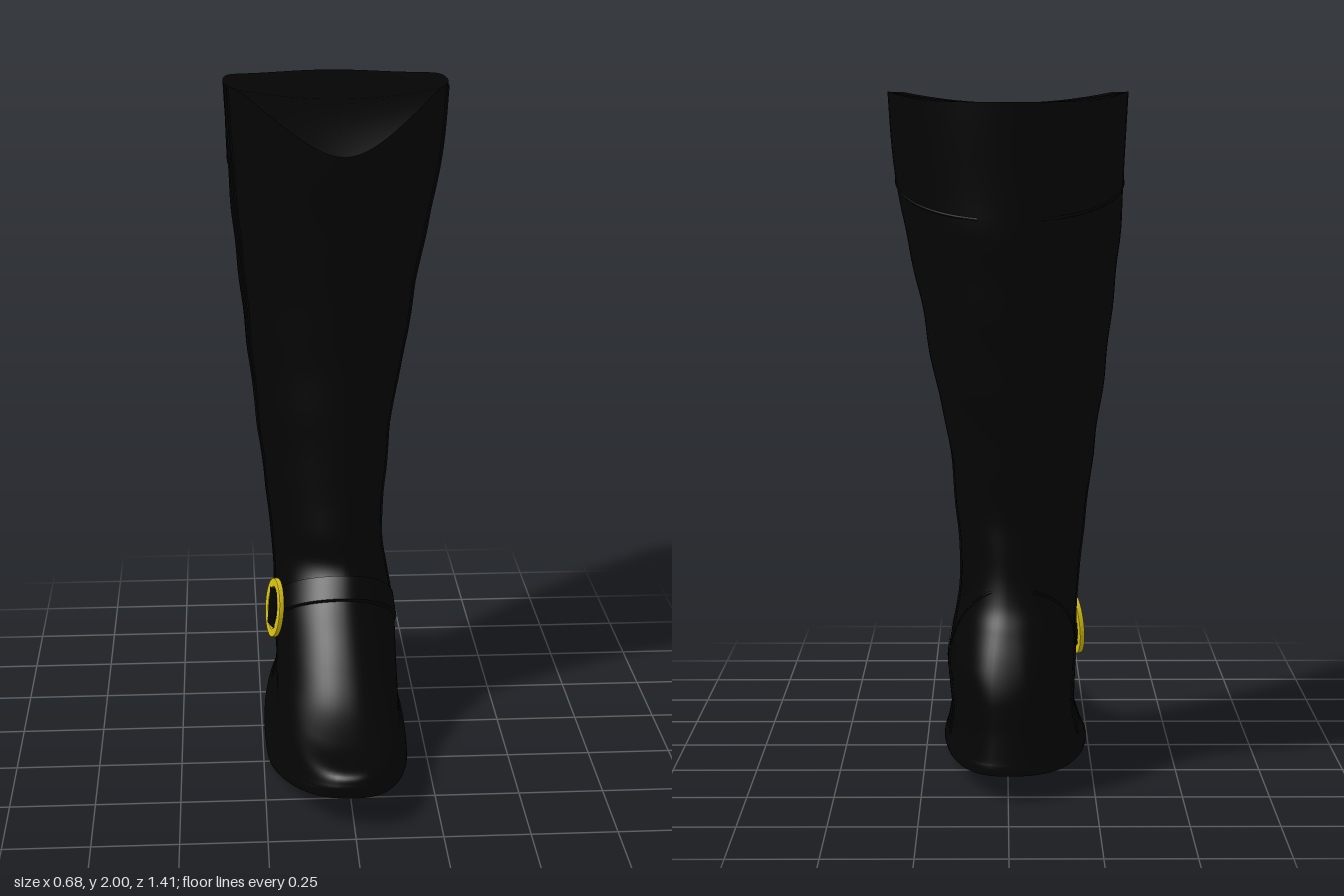
import * as THREE from 'three';
import { toCreasedNormals } from 'three/addons/utils/BufferGeometryUtils.js';

// Rings from sole to rim: front z, front y, back z, back y, half width +x, half width -x, sole bend
const ROWS = [
  [0.695, 0.10, -0.56, 0.08, 0.188, 0.238, 1],
  [0.70, 0.115, -0.562, 0.10, 0.193, 0.24, 1],
  [0.705, 0.14, -0.56, 0.13, 0.185, 0.224, 0.9],
  [0.68, 0.175, -0.557, 0.20, 0.172, 0.205, 0.6],
  [0.55, 0.20, -0.557, 0.25, 0.172, 0.202, 0.3],
  [0.41, 0.243, -0.555, 0.30, 0.174, 0.20, 0.1],
  [0.295, 0.312, -0.545, 0.35, 0.175, 0.20, 0],
  [0.195, 0.393, -0.525, 0.41, 0.165, 0.20, 0],
  [0.11, 0.47, -0.495, 0.48, 0.152, 0.20, 0],
  [0.055, 0.55, -0.465, 0.55, 0.14, 0.205, 0],
  [0.055, 0.65, -0.452, 0.65, 0.138, 0.213, 0],
  [0.045, 0.8, -0.457, 0.8, 0.15, 0.23, 0],
  [0.045, 1.0, -0.505, 1.0, 0.172, 0.255, 0],
  [0.05, 1.2, -0.56, 1.2, 0.215, 0.28, 0],
  [0.075, 1.4, -0.605, 1.4, 0.248, 0.30, 0],
  [0.115, 1.6, -0.65, 1.6, 0.29, 0.32, 0],
  [0.165, 1.8, -0.675, 1.8, 0.325, 0.33, 0],
  [0.20, 2.0, -0.705, 2.0, 0.34, 0.34, 0],
];
const TOP = ROWS.length - 1;
const { smoothstep, lerp, clamp } = THREE.MathUtils;

// Smooth interpolation of one ring
function ring(v) {
  const i = clamp(Math.floor(v), 0, TOP - 1), t = v - i;
  const at = (j) => ROWS[clamp(j, 0, TOP)];
  const [p, q, r, s] = [at(i - 1), at(i), at(i + 1), at(i + 2)];
  return q.map((b, k) => {
    const m0 = (r[k] - p[k]) / 2, m1 = (s[k] - b) / 2, d = r[k] - b;
    return b + t * (m0 + t * (3 * d - 2 * m0 - m1 + t * (m0 + m1 - 2 * d)));
  });
}

// Point on the boot: v = ring, a = angle from the back round by +x
function surf(v, a, squash = 1) {
  const [zF, yF, zB, yB, wR, wL, bend] = ring(v);
  const c = Math.cos(a), s = Math.sin(a), u = (1 - c) / 2;
  let z = lerp(zB, zF, u);
  let y = lerp(yB, yF, u);
  // soft creases in the leather
  const amp = 0.003 * smoothstep(y, 0.6, 0.8) * (1 - smoothstep(y, 1.5, 1.8));
  const fold = amp * Math.sin(y * 27 + 2.5 * Math.cos(a + 0.6)) * (0.6 + 0.4 * c);
  z -= fold * c;
  // blunt toe and heel low down, egg-shaped shaft with a pointed rim at the front
  const power = c > 0 ? lerp(0.75, 1, smoothstep(v, 6, 10)) : lerp(0.82, 1, smoothstep(v, 2, 8));
  const blunt = Math.pow(Math.abs(s), power) * Math.sign(s);
  const point = c < 0 ? 0.3 * c * c * smoothstep(v, 12, TOP) : 0;
  const egg = (1 + 0.06 * c * smoothstep(y, 0.8, 1.8)) * (1 - point);
  const x = blunt * ((s > 0 ? wR : wL) + fold) * egg;
  // rim dips at the front, sole bends at the ball of the foot
  const dip = 0.15 * Math.pow(clamp((z + 0.1) / 0.3, 0, 1), 1.5) + 0.03 * (1 - smoothstep(z, -0.7, -0.35));
  y -= smoothstep(y, 1.6, 2) * dip;
  y -= bend * 0.096 * (z < 0.25 ? (z + 0.56) / 0.81 : (0.7 - z) / 0.45);
  return new THREE.Vector3(x * squash, y, z);
}

function normalAt(v, a) {
  const dv = surf(v + 0.02, a).sub(surf(v - 0.02, a));
  const da = surf(v, a + 0.02).sub(surf(v, a - 0.02));
  return dv.cross(da).normalize();
}

// Point lifted off the surface
function raised(v, a, h) {
  return surf(v, a).addScaledVector(normalAt(v, a), h);
}

// Skin over a closed or open grid of points
function grid(fn, cols, rows, closed) {
  const pos = [], idx = [], n = closed ? cols : cols + 1;
  for (let j = 0; j <= rows; j++)
    for (let i = 0; i < n; i++) pos.push(...fn(i / cols, j / rows).toArray());
  for (let j = 0; j < rows; j++)
    for (let i = 0; i < cols; i++) {
      const a = j * n + i, b = j * n + (i + 1) % n;
      idx.push(a, a + n, b, b, a + n, b + n);
    }
  const g = new THREE.BufferGeometry();
  g.setAttribute('position', new THREE.Float32BufferAttribute(pos, 3));
  g.setIndex(idx);
  g.computeVertexNormals();
  return g;
}

// Ring number where the surface at angle a meets the plane y - slope * z = c
function meet(a, slope, c) {
  let lo = 1, hi = TOP;
  for (let k = 0; k < 30; k++) {
    const mid = (lo + hi) / 2, p = surf(mid, a);
    if (p.y - slope * p.z < c) lo = mid; else hi = mid;
  }
  return lo;
}

export function createModel() {
  const boot = new THREE.Group();
  boot.name = 'boot';
  const material = (name, color) => {
    const m = new THREE.MeshStandardMaterial({ color, side: THREE.DoubleSide });
    m.name = name;
    return m;
  };
  const leather = material('black leather', 0x040404);
  const gold = material('gold metal', 0xd8c010);
  const add = (name, geometry, mat = leather, parent = boot) => {
    const mesh = new THREE.Mesh(geometry, mat);
    mesh.name = name;
    parent.add(mesh);
  };
  const TAU = Math.PI * 2;

  // Foot and shaft in one skin, the shallow hollow at the top, and the sole
  add('upper', grid((u, t) => surf(lerp(1.6, TOP, t), u * TAU), 72, 110, true));
  add('topHollow', grid((u, t) => {
    const p = surf(TOP, u * TAU, 1 - t);
    p.y -= 0.035 * Math.sin(u * TAU) ** 2 * (1 - (1 - t) ** 2);
    return p;
  }, 72, 12, true));
  add('soleEdge', grid((u, t) => {
    const p = surf(lerp(0, 1.6, t), u * TAU);
    if (t > 0.1 && t < 0.9) p.x *= 1.012;
    return p;
  }, 72, 8, true));
  add('soleBottom', grid((u, t) => surf(0, u * TAU, t), 72, 6, true));

  // Ankle strap over the instep, thinner towards its ends
  const slope = 0.7, mid = 0.433;
  const section = [[-0.05, -0.005], [-0.047, 0.018], [0.047, 0.018], [0.05, -0.005]];
  const strap = grid((u, t) => {
    const a = lerp(1.48, TAU - 1.48, u);
    const [c, h] = section[Math.round(t * 3)];
    const thin = lerp(0.3, 1, Math.sin(u * Math.PI));
    return raised(meet(a, slope, mid + c), a, h * thin);
  }, 48, 3, false);
  add('ankleStrap', toCreasedNormals(strap, 0.7));

  // Seams laid on the surface
  const seam = (name, points) =>
    add(name, new THREE.TubeGeometry(new THREE.CatmullRomCurve3(points), 60, 0.004, 6, false));
  const steps = (n, fn) => Array.from({ length: n + 1 }, (_, i) => fn(i / n));
  for (const side of [1, -1]) {
    const label = side > 0 ? 'left' : 'right';
    const ang = (a) => (side > 0 ? a : TAU - a);
    // angle at which ring v passes depth z
    const angleAt = (v, z) => {
      const [zF, , zB] = ring(v);
      return ang(Math.acos(clamp(1 - 2 * (z - zB) / (zF - zB), -1, 1)));
    };
    for (const z of [-0.165, -0.195])
      seam(label + 'SideSeam', steps(40, (t) => {
        const v = lerp(2, TOP - 0.05, t);
        return raised(v, angleAt(v, z), 0.001);
      }));
    // heel counter seam rising to the back
    seam(label + 'HeelSeam', steps(16, (t) => {
      const a = ang(lerp(1.5, 0.35, t));
      return raised(meet(a, -0.9, 0.19), a, -0.001);
    }));
    // back collar panel seam
    seam(label + 'CollarSeam', steps(24, (t) => {
      const z = t < 0.4 ? lerp(-0.2, -0.25, t / 0.4) : lerp(-0.25, -0.645, (t - 0.4) / 0.6);
      const y = t < 0.4 ? lerp(1.97, 1.78, t / 0.4) : lerp(1.76, 1.66, (t - 0.4) / 0.6);
      const v = 15 + (y - 1.6) / 0.2;
      return raised(v, angleAt(v, z), -0.001);
    }));
  }

  // Buckle on the outer side of the strap
  const a = TAU - 1.95, v = meet(a, slope, mid - 0.025);
  const buckle = new THREE.Group();
  buckle.name = 'buckle';
  buckle.position.copy(raised(v, a, 0.016));
  buckle.lookAt(buckle.position.clone().add(new THREE.Vector3(-1, 0.1, 0.35)));
  const frame = new THREE.Shape();
  frame.absellipse(0, 0, 0.058, 0.093, 0, TAU);
  const hole = new THREE.Path();
  hole.absellipse(0, 0, 0.039, 0.072, 0, TAU, true);
  frame.holes.push(hole);
  const frameGeo = new THREE.ExtrudeGeometry(frame, {
    depth: 0.01, bevelSize: 0.003, bevelThickness: 0.003, bevelSegments: 2, curveSegments: 24,
  });
  add('buckleFrame', frameGeo, gold, buckle);
  add('buckleTab', new THREE.BoxGeometry(0.06, 0.12, 0.034).translate(0, 0, -0.004), leather, buckle);
  boot.add(buckle);
  return boot;
}
